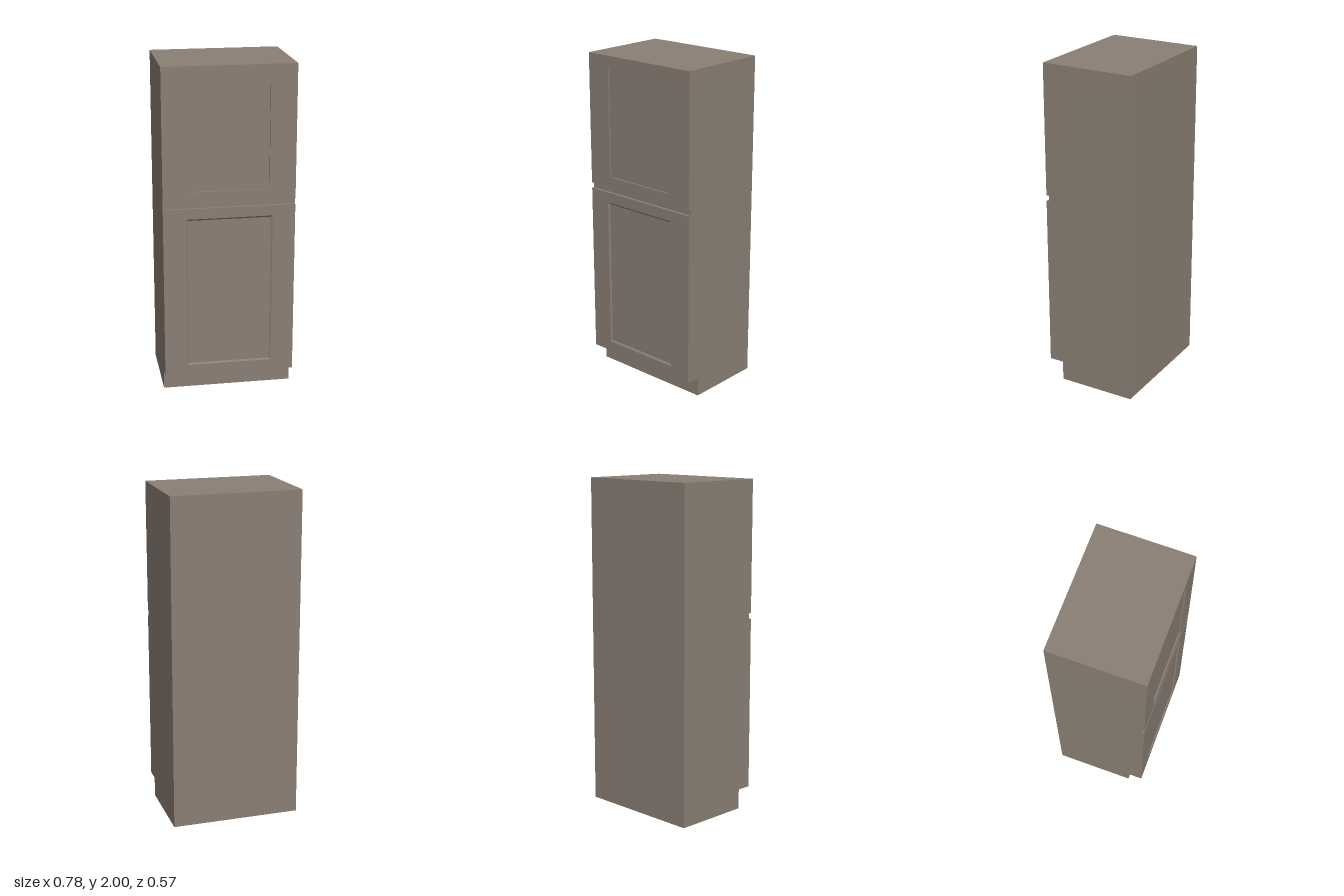
import * as THREE from 'three';

const W = 0.39, BACK = -0.285, BODY_FRONT = 0.268, FRONT = 0.285, KICK = 0.195;

// Rectangle loop, counter-clockwise seen from the front
const loop = (hw, y0, y1, z) => [[-hw, y0, z], [hw, y0, z], [hw, y1, z], [-hw, y1, z]];

// Joins successive rectangle loops with flat faces and caps the last one
function skinLoops(loops) {
  const pos = [];
  const quad = (a, b, c, d) => pos.push(...a, ...b, ...c, ...a, ...c, ...d);
  for (let k = 0; k < loops.length - 1; k++) {
    for (let i = 0; i < 4; i++) {
      const j = (i + 1) % 4;
      quad(loops[k][i], loops[k][j], loops[k + 1][j], loops[k + 1][i]);
    }
  }
  quad(...loops[loops.length - 1]);
  const geo = new THREE.BufferGeometry();
  geo.setAttribute('position', new THREE.Float32BufferAttribute(pos, 3));
  geo.computeVertexNormals();
  return geo;
}

// Door slab with a recessed panel; slope widens the recess towards the front
function doorGeometry(y0, y1, panel, depth, slope) {
  const { hw, bottom, top } = panel;
  return skinLoops([
    loop(W, y0, y1, BODY_FRONT),
    loop(W, y0, y1, FRONT),
    loop(hw, bottom, top, FRONT),
    loop(hw - slope, bottom + slope, top - slope, FRONT - depth),
  ]);
}

export function createModel() {
  const group = new THREE.Group();
  const material = new THREE.MeshStandardMaterial({ color: 0x8b7f75 });
  const add = (name, geometry) => {
    const mesh = new THREE.Mesh(geometry, material);
    mesh.name = name;
    group.add(mesh);
  };

  // Carcass: side profile with the toe kick, extruded across the width
  const profile = new THREE.Shape([
    [-BACK, 0], [-BACK, 2], [-BODY_FRONT, 2], [-BODY_FRONT, 0.12], [-KICK, 0.12], [-KICK, 0],
  ].map(([x, y]) => new THREE.Vector2(x, y)));
  const carcass = new THREE.ExtrudeGeometry(profile, { depth: 2 * W, bevelEnabled: false });
  carcass.translate(0, 0, -W).rotateY(Math.PI / 2);
  add('carcass', carcass);

  // Doors, separated by a narrow horizontal groove
  add('upperDoor', doorGeometry(1.205, 2, { hw: 0.235, bottom: 1.27, top: 1.93 }, 0.01, 0));
  add('lowerDoor', doorGeometry(0.12, 1.17, { hw: 0.255, bottom: 0.185, top: 1.107 }, 0.008, 0.01));

  return group;
}
